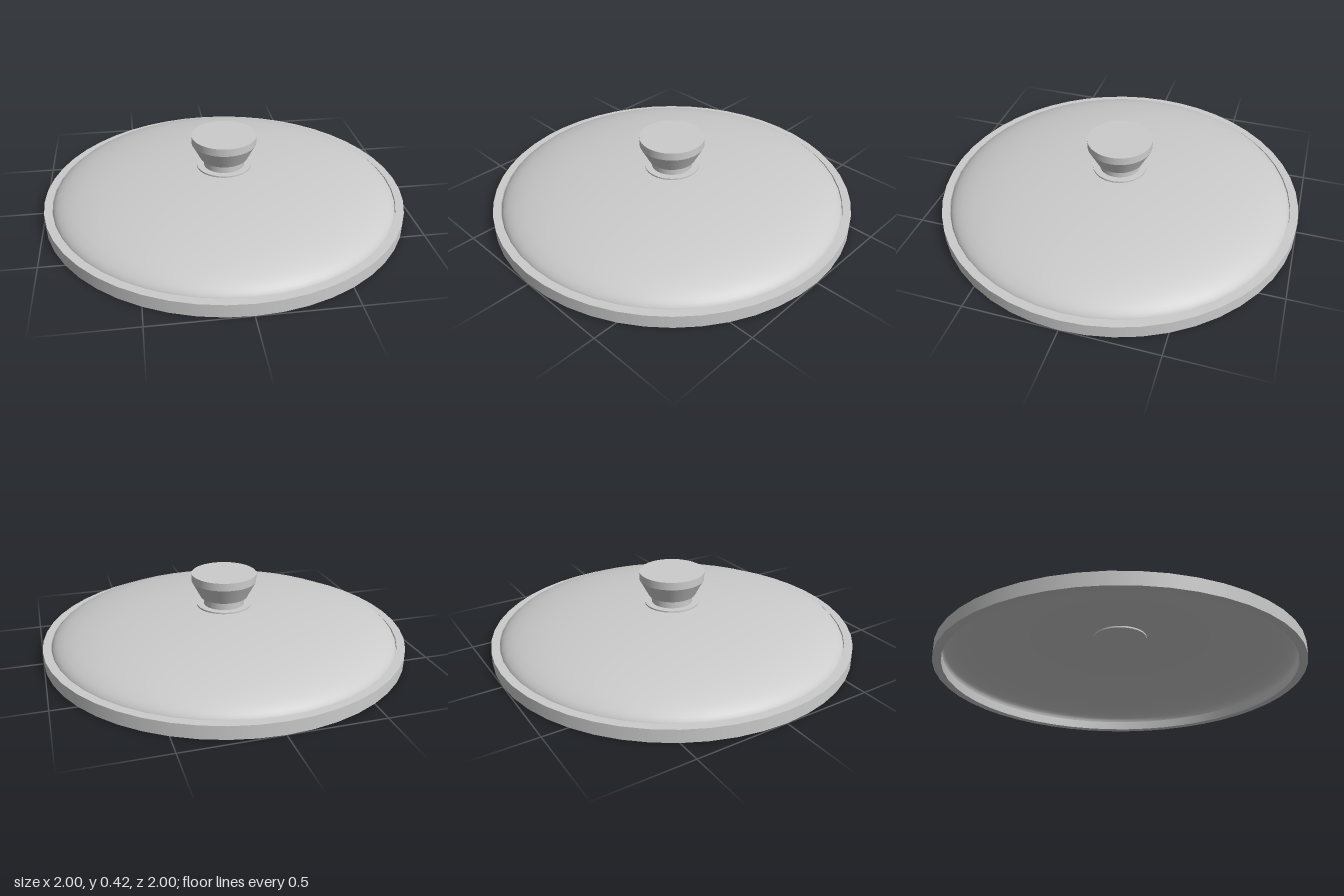
import * as THREE from 'three';
import { mergeGeometries } from 'three/addons/utils/BufferGeometryUtils.js';

const SEGMENTS = 48;

// Turned part with hard edges: each straight run of the profile is its own band.
function turned(profile) {
  const bands = [];
  for (let i = 0; i < profile.length - 1; i++) {
    const run = [profile[i], profile[i + 1]].map(([r, y]) => new THREE.Vector2(r, y));
    bands.push(new THREE.LatheGeometry(run, SEGMENTS));
  }
  return mergeGeometries(bands);
}

export function createModel() {
  const group = new THREE.Group();
  group.name = 'potLid';
  const material = new THREE.MeshStandardMaterial({ color: 0xcccccc });
  const thin = new THREE.MeshStandardMaterial({ color: 0xcccccc, side: THREE.DoubleSide });

  const add = (name, geometry, mat = material) => {
    const mesh = new THREE.Mesh(geometry, mat);
    mesh.name = name;
    group.add(mesh);
  };

  // Flat-sided rim band
  add('rim', turned([[1, 0], [1, 0.07], [0.955, 0.07], [0.955, 0], [1, 0]]));

  // Shallow thin dome, a quarter ellipse turned around the axis
  const arc = [];
  for (let i = 0; i <= 24; i++) {
    const a = (i / 24) * Math.PI / 2;
    arc.push(new THREE.Vector2(0.955 * Math.cos(a), 0.05 + 0.185 * Math.sin(a)));
  }
  arc[24].x = 0;
  add('dome', new THREE.LatheGeometry(arc, SEGMENTS), thin);

  // Washer under the knob, showing through inside the dome
  add('washer', turned([[0, 0.223], [0.15, 0.223], [0.15, 0.241], [0, 0.241]]));

  // Neck and flared knob
  add('neck', turned([[0.112, 0.24], [0.112, 0.29]]));
  add('knob', turned([[0, 0.285], [0.13, 0.285], [0.178, 0.375], [0.178, 0.418], [0, 0.418]]));

  return group;
}
